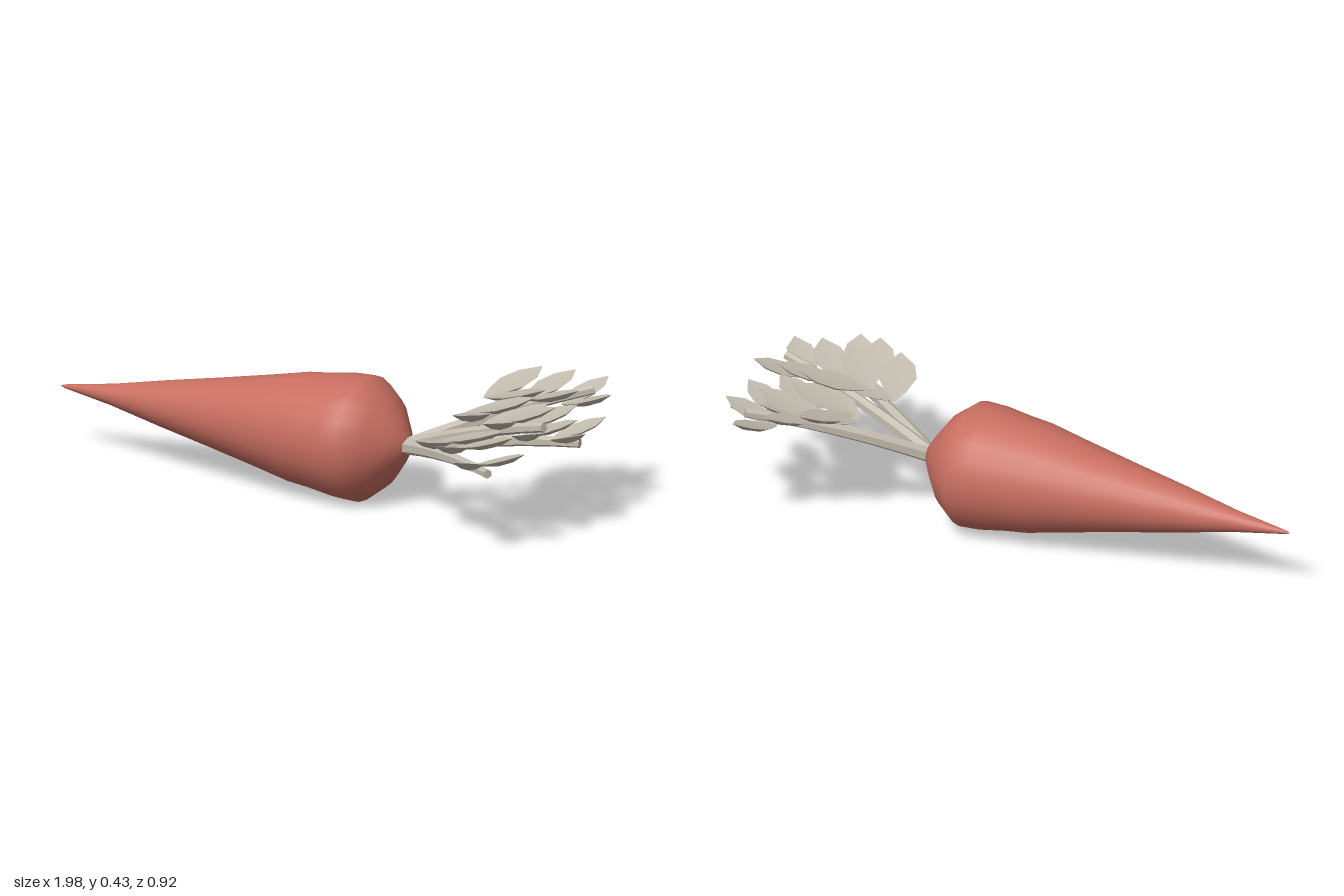
import * as THREE from 'three';
import { toCreasedNormals } from 'three/addons/utils/BufferGeometryUtils.js';

const AXIS_Y = 0.21;

// Tapered hexagonal stalk bent along a curve
function stalkGeometry(curve) {
  const geo = new THREE.CylinderGeometry(0.016, 0.026, 1, 6, 6);
  const pos = geo.attributes.position;
  const up = new THREE.Vector3(0, 1, 0);
  for (let i = 0; i < pos.count; i++) {
    const t = THREE.MathUtils.clamp(pos.getY(i) + 0.5, 0, 1);
    const tangent = curve.getTangent(t);
    const side = new THREE.Vector3().crossVectors(tangent, up).normalize();
    const normal = new THREE.Vector3().crossVectors(side, tangent);
    const p = curve.getPoint(t)
      .addScaledVector(side, pos.getX(i))
      .addScaledVector(normal, pos.getZ(i));
    pos.setXYZ(i, p.x, p.y, p.z);
  }
  return toCreasedNormals(geo, 0.6);
}

// Pointed leaf of unit length along +x: nearly flat top, rounded keel below
function leafGeometry() {
  const half = [[0, 0.02], [0.2, 0.15], [0.48, 0.26], [0.76, 0.21], [1, 0.01]];
  const across = [-1, -0.5, 0, 0.5, 1];
  const verts = [], index = [];
  for (const bottom of [false, true]) {
    const start = verts.length / 3;
    for (const [x, w] of half) {
      for (const s of across) {
        const y = bottom ? -0.4 * w * (1 - s * s) : -0.05 * w * (1 - s * s);
        verts.push(x, y, s * w);
      }
    }
    const n = across.length;
    for (let i = 0; i < half.length - 1; i++) {
      for (let j = 0; j < n - 1; j++) {
        const a = start + i * n + j, b = a + 1, c = a + n, d = c + 1;
        if (bottom) index.push(a, c, b, b, c, d);
        else index.push(a, b, c, b, d, c);
      }
    }
  }
  const geo = new THREE.BufferGeometry();
  geo.setAttribute('position', new THREE.Float32BufferAttribute(verts, 3));
  geo.setIndex(index);
  geo.computeVertexNormals();
  return geo;
}

export function createModel() {
  const model = new THREE.Group();
  model.name = 'carrot';
  const orange = new THREE.MeshStandardMaterial({ color: 0xc86e60 });
  orange.name = 'carrot red';
  const grey = new THREE.MeshStandardMaterial({ color: 0xc2bbae });
  grey.name = 'leaf grey';

  // Root: lathe turned to lie along x
  const profile = [
    [-1, 0], [-0.985, 0.006], [-0.8, 0.036], [-0.6, 0.078], [-0.4, 0.117], [-0.2, 0.158],
    [-0.08, 0.184], [0, 0.193], [0.09, 0.207], [0.165, 0.21], [0.235, 0.158],
    [0.29, 0.085], [0.32, 0.04], [0.327, 0],
  ].map(([x, r]) => new THREE.Vector2(r, x));
  const root = new THREE.Mesh(new THREE.LatheGeometry(profile, 24), orange);
  root.geometry.rotateZ(-Math.PI / 2);
  root.position.y = AXIS_Y;
  root.name = 'root';
  model.add(root);

  // Fronds: low and high ones alternate across the fan
  const leafGeo = leafGeometry();
  const low = { y: 0.28, tips: [0.36, 0.372, 0.345] };
  const high = { y: 0.393, tips: [0.433, 0.425, 0.405] };
  const fronds = [
    { x: 0.83, z: 0.34, ...low },
    { x: 0.91, z: 0.115, ...high },
    { x: 0.91, z: -0.115, ...low },
    { x: 0.83, z: -0.34, ...high },
  ];
  for (const f of fronds) {
    const frond = new THREE.Group();
    frond.name = 'frond';
    const start = new THREE.Vector3(0.31, 0.205, 0);
    const end = new THREE.Vector3(f.x, f.y, f.z);
    const middle = start.clone().lerp(end, 0.5);
    middle.y += 0.03;
    const curve = new THREE.QuadraticBezierCurve3(start, middle, end);
    const stalk = new THREE.Mesh(stalkGeometry(curve), grey);
    stalk.name = 'stalk';
    frond.add(stalk);

    // Three pairs of leaves, shrinking towards the end
    const heading = Math.atan2(f.z, f.x - start.x);
    [0.42, 0.63, 0.83].forEach((t, i) => {
      const base = curve.getPoint(t);
      const length = [0.245, 0.22, 0.2][i];
      base.y = f.tips[i] - 0.062;
      for (const s of [-1, 1]) {
        const leaf = new THREE.Mesh(leafGeo, grey);
        leaf.name = 'leaf';
        leaf.position.copy(base);
        leaf.rotation.set(0, -(heading + s * 0.61), Math.asin(0.062 / length), 'YXZ');
        leaf.scale.setScalar(length);
        frond.add(leaf);
      }
    });
    model.add(frond);
  }
  return model;
}
